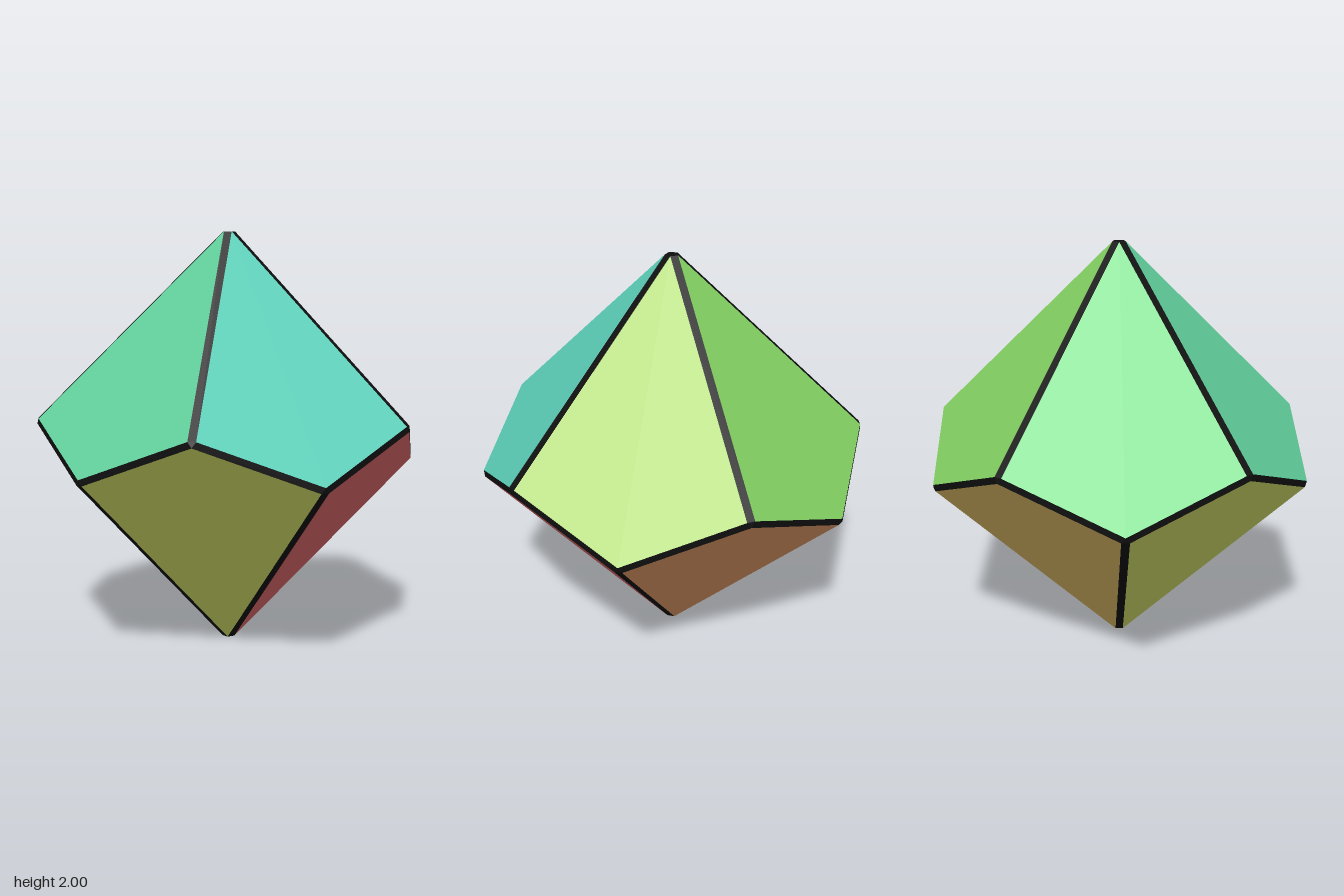
import * as THREE from 'three';

const RADIUS = 0.94;   // ring radius before the edges are bevelled
const APEX = 1.038;    // apex height above the centre
const RING = APEX * 0.1056; // zigzag offset that keeps every kite flat
const INSET = 0.021;   // distance of each panel border from the sharp edge

const mat = (name, color) => {
  const m = new THREE.MeshStandardMaterial({ color });
  m.name = name;
  return m;
};

// Flat polygons (corner loops, counter-clockwise from outside) as one geometry
function polygons(loops) {
  const pts = [];
  for (const loop of loops)
    for (let i = 1; i < loop.length - 1; i++) pts.push(loop[0], loop[i], loop[i + 1]);
  const g = new THREE.BufferGeometry().setFromPoints(pts);
  g.computeVertexNormals();
  return g;
}

// Shrink a convex polygon within its own plane
function inset(loop, d) {
  const n = loop.length;
  return loop.map((p, i) => {
    const u = loop[(i + n - 1) % n].clone().sub(p).normalize();
    const v = loop[(i + 1) % n].clone().sub(p).normalize();
    const s = u.clone().cross(v).length();
    return p.clone().addScaledVector(u.add(v), d / s);
  });
}

export function createModel() {
  const model = new THREE.Group();
  model.name = 'tenSidedDie';
  const olive = mat('olive', 0xc5d060);
  const black = mat('black', 0x0e0e0e);
  // Panel colours by the 36 degree step each panel is centred on
  const colours = [
    mat('brown', 0xd08f5d), mat('lime', 0xa4d05e), mat('red', 0xd06163),
    mat('teal', 0x5dd1ba), olive, mat('seaGreen', 0x61d09b), olive,
    mat('green', 0x5cd072), mat('tan', 0xd0ae5f), mat('leafGreen', 0x82d062),
  ];

  // Sharp corners: zigzag ring 0-9, top 10, bottom 11
  const corners = [];
  for (let i = 0; i < 10; i++) {
    const a = (i * Math.PI) / 5;
    corners.push(new THREE.Vector3(RADIUS * Math.cos(a), i % 2 ? -RING : RING, RADIUS * Math.sin(a)));
  }
  corners.push(new THREE.Vector3(0, APEX, 0), new THREE.Vector3(0, -APEX, 0));

  // Kite panels
  const edges = new Map();
  const around = corners.map(() => []);
  for (let i = 0; i < 10; i++) {
    const next = (i + 1) % 10, prev = (i + 9) % 10;
    const ids = i % 2 ? [10, next, i, prev] : [11, prev, i, next];
    const loop = inset(ids.map((k) => corners[k]), INSET);
    const panel = new THREE.Mesh(polygons([loop]), colours[i]);
    panel.name = i % 2 ? 'upperPanel' : 'lowerPanel';
    model.add(panel);
    ids.forEach((a, k) => {
      const j = (k + 1) % 4;
      edges.set(`${a}-${ids[j]}`, [loop[k], loop[j]]);
      around[a].push(loop[k]);
    });
  }

  // Bevels between neighbouring panels
  const bevels = [];
  for (const [key, [a1, b1]] of edges) {
    const [a, b] = key.split('-').map(Number);
    if (a > b) continue;
    const [b2, a2] = edges.get(`${b}-${a}`);
    bevels.push([b1, a1, a2, b2]);
  }
  const bevelMesh = new THREE.Mesh(polygons(bevels), black);
  bevelMesh.name = 'edgeBevels';
  model.add(bevelMesh);

  // Small caps on the cut corners, turned to face outwards
  const caps = around.map((loop, k) => {
    const n = loop[1].clone().sub(loop[0]).cross(loop[2].clone().sub(loop[0]));
    return n.dot(corners[k]) < 0 ? loop.slice().reverse() : loop;
  });
  const capMesh = new THREE.Mesh(polygons(caps), black);
  capMesh.name = 'cornerCaps';
  model.add(capMesh);

  // Stand the body on the ground
  model.children.forEach((m) => m.geometry.translate(0, 1, 0));
  return model;
}
